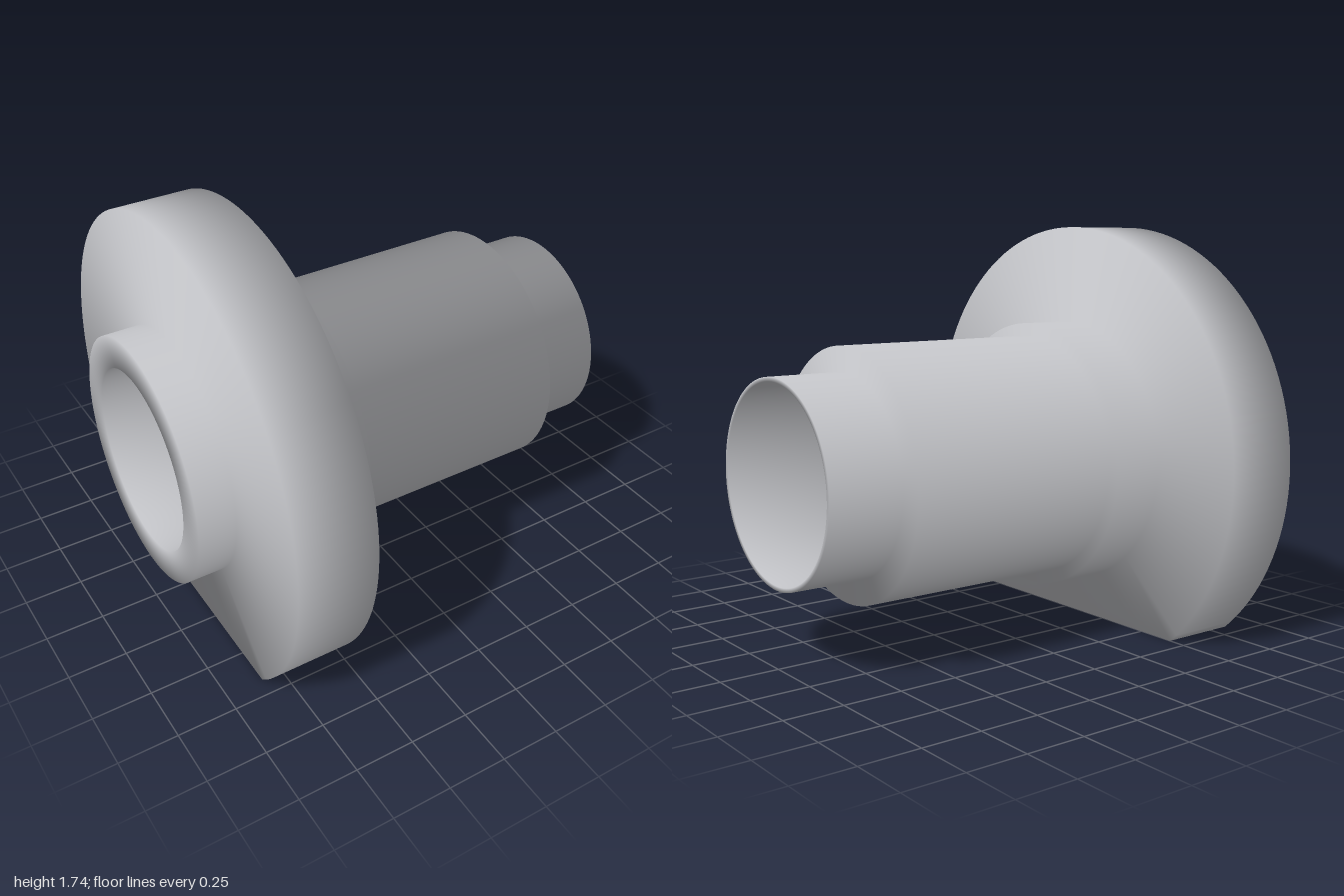
import * as THREE from 'three';

const AXIS_Y = 0.74;   // height of the bore axis; also the distance to the flat cut
const SEGMENTS = 128;

// Closed section of the turned sleeve: [radius, position along x]
const PROFILE = [
  [0.39, -1], [0.525, -1], [0.525, -0.84],      // rear hub
  [1, -0.84], [1, -0.5],                        // flange rim
  [0.58, -0.5], [0.58, -0.27],                  // shoulder collar
  [0.525, -0.27], [0.525, 0.68],                // main barrel
  [0.42, 0.68], [0.42, 1],                      // narrow spigot
  [0.402, 1], [0.39, -1],                       // bore back to the start
].map(([r, x]) => new THREE.Vector2(r, x));

// Soft section normals: equal average of the two edges meeting at each point
function sectionNormals(points) {
  const edges = points.slice(1).map((p, i) => {
    const d = p.clone().sub(points[i]).normalize();
    return new THREE.Vector2(d.y, -d.x);
  });
  const n = edges.length;
  return points.map((_, i) => edges[(i + n - 1) % n].clone().add(edges[i % n]).normalize());
}

function sleeveGeometry() {
  const geometry = new THREE.LatheGeometry(PROFILE, SEGMENTS);
  geometry.rotateZ(-Math.PI / 2);               // turn the axis onto x
  const normals = sectionNormals(PROFILE);
  const position = geometry.attributes.position;
  const radial = new THREE.Vector3();
  const down = new THREE.Vector3(0, -1, 0);
  for (let i = 0; i < position.count; i++) {
    const section = normals[i % PROFILE.length];
    radial.set(0, position.getY(i), position.getZ(i)).normalize();
    // Flatten the underside of the flange
    if (position.getY(i) < -AXIS_Y) {
      const corner = position.getY(i) > -AXIS_Y - 0.005;
      if (corner) radial.add(down).normalize();
      else radial.copy(down);
      position.setY(i, -AXIS_Y);
    }
    geometry.attributes.normal.setXYZ(i, section.y, radial.y * section.x, radial.z * section.x);
  }
  return geometry;
}

export function createModel() {
  const group = new THREE.Group();
  group.name = 'flangedBushing';
  const steel = new THREE.MeshStandardMaterial({ color: 0xbfc0c4 });
  steel.name = 'light grey steel';

  // Stepped hollow sleeve with its flat-bottomed flange
  const sleeve = new THREE.Mesh(sleeveGeometry(), steel);
  sleeve.name = 'flangedSleeve';
  sleeve.position.y = AXIS_Y;
  group.add(sleeve);
  return group;
}
